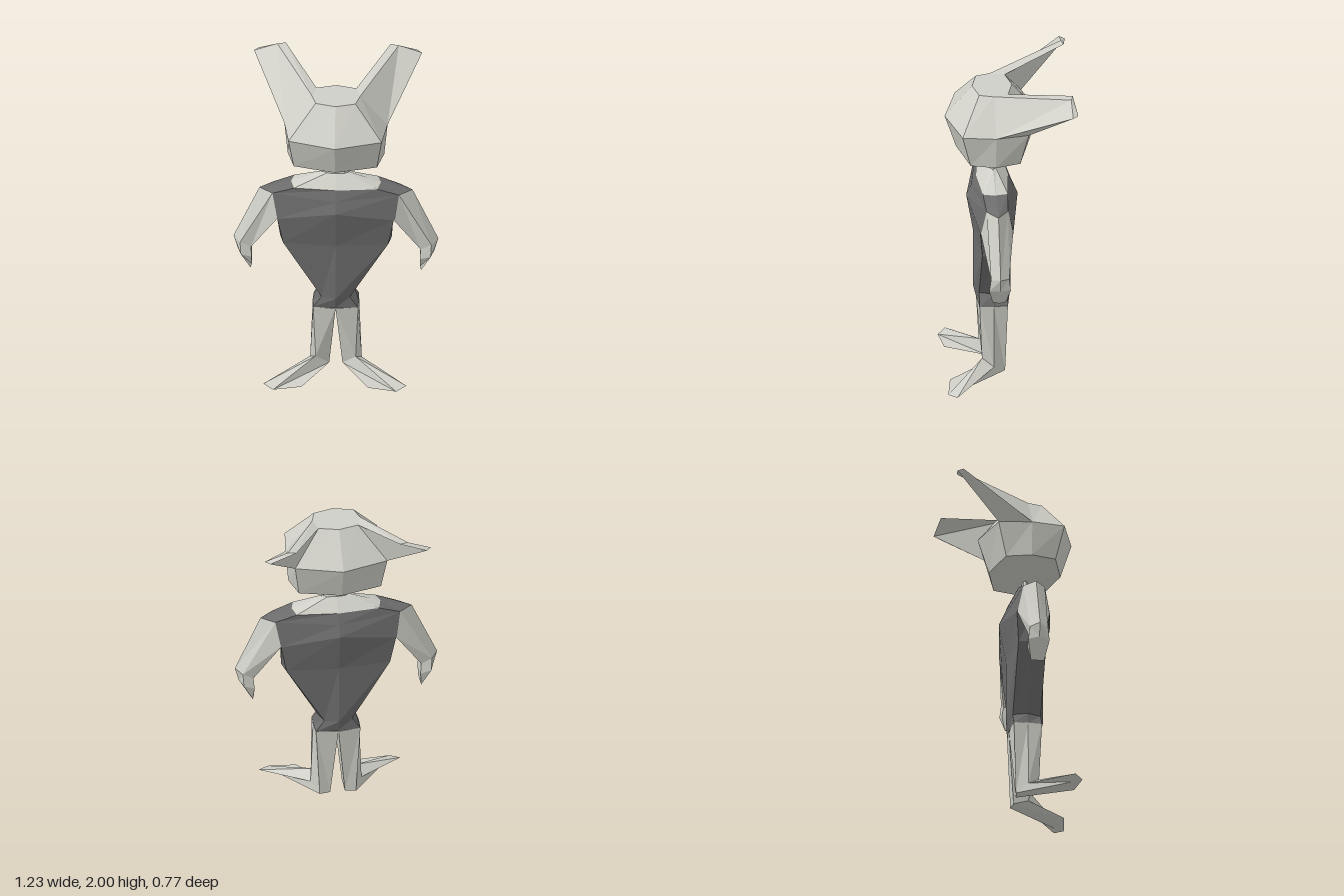
import * as THREE from 'three';

const ZC = 0.09; // body's front/back symmetry plane

// Closed faceted solid through rings of equal point count, always wound outward
function loft(name, rings, material) {
  const tris = [];
  const n = rings[0].length;
  for (let r = 0; r + 1 < rings.length; r++) {
    for (let i = 0; i < n; i++) {
      const j = (i + 1) % n;
      const a = rings[r][i], b = rings[r][j], c = rings[r + 1][j], d = rings[r + 1][i];
      tris.push([a, b, c], [a, c, d]);
    }
  }
  const last = rings[rings.length - 1];
  for (let i = 1; i + 1 < n; i++) {
    tris.push([rings[0][0], rings[0][i + 1], rings[0][i]]);
    tris.push([last[0], last[i], last[i + 1]]);
  }
  let volume = 0;
  for (const [a, b, c] of tris) {
    volume += a[0] * (b[1] * c[2] - b[2] * c[1])
      + a[1] * (b[2] * c[0] - b[0] * c[2])
      + a[2] * (b[0] * c[1] - b[1] * c[0]);
  }
  const points = tris.flatMap(([a, b, c]) => (volume > 0 ? [a, b, c] : [a, c, b]).flat());
  const geometry = new THREE.BufferGeometry();
  geometry.setAttribute('position', new THREE.Float32BufferAttribute(points, 3));
  geometry.computeVertexNormals();
  const mesh = new THREE.Mesh(geometry, material);
  mesh.name = name;
  return mesh;
}

// Eight-point ring from front [y, depth], corner [x, y, depth] and side [x, y]
function ring8([fy, fd], [cx, cy, cd], [sx, sy]) {
  return [
    [0, fy, ZC + fd], [cx, cy, ZC + cd], [sx, sy, ZC], [cx, cy, ZC - cd],
    [0, fy, ZC - fd], [-cx, cy, ZC - cd], [-sx, sy, ZC], [-cx, cy, ZC + cd],
  ];
}
const level = (y, fd, cx, cd, sx) => ring8([y, fd], [cx, y, cd], [sx, y]);

// Five-point arm ring: outer ridge, front/back edges and inner edges
function armRing([ox, oy], [fx, fy, fd], [ix, iy, id]) {
  return [[ox, oy, ZC], [fx, fy, ZC + fd], [ix, iy, ZC + id], [ix, iy, ZC - id], [fx, fy, ZC - fd]];
}

export function createModel() {
  const model = new THREE.Group();
  model.name = 'figure';
  const skin = new THREE.MeshStandardMaterial({ color: 0xcfcfc8 });
  skin.name = 'pale grey';
  const cloth = new THREE.MeshStandardMaterial({ color: 0x6c6c6c });
  cloth.name = 'dark grey';

  // Head, wide at the cheeks
  model.add(loft('head', [
    level(1.45, 0.015, 0.03, 0.01, 0.04),
    level(1.51, 0.217, 0.25, 0.15, 0.29),
    level(1.72, 0.285, 0.28, 0.2, 0.31),
    level(1.92, 0.12, 0.12, 0.087, 0.145),
  ], skin));

  // Neck spreading into the bare collar
  const collar = ring8([1.305, 0.097], [0.25, 1.305, 0.075], [0.27, 1.31]);
  model.add(loft('neck', [
    collar,
    level(1.38, 0.025, 0.055, 0.018, 0.08),
    level(1.455, 0.015, 0.03, 0.01, 0.04),
  ], skin));

  // Suit from hips to shoulders
  model.add(loft('suit', [
    level(0.465, 0.095, 0.135, 0.085, 0.14),
    level(0.54, 0.113, 0.085, 0.085, 0.115),
    level(0.92, 0.113, 0.315, 0.085, 0.335),
    ring8([1.17, 0.155], [0.35, 1.1, 0.1], [0.34, 1.1]),
    ring8([1.24, 0.125], [0.38, 1.26, 0.065], [0.46, 1.26]),
    collar,
  ], cloth));

  // Limbs and ears, mirrored across x
  const ankle = [
    [0.12, 0.105, 0.16], [0.155, 0.06, 0.09], [0.11, 0.01, 0.02],
    [0.045, 0.01, 0.03], [0.04, 0.035, 0.12],
  ];
  const parts = {
    Ear: [
      [[0.145, 1.92, 0.09], [0.12, 1.92, 0.003], [0.28, 1.72, -0.11], [0.31, 1.72, 0.09]],
      [[0.365, 2, -0.357], [0.315, 2, -0.37], [0.475, 1.95, -0.39], [0.505, 1.95, -0.357]],
    ],
    Arm: [
      armRing([0.46, 1.26], [0.38, 1.26, 0.065], [0.35, 1.1, 0.098]),
      armRing([0.615, 0.915], [0.575, 0.9, 0.055], [0.51, 0.865, 0.05]),
      armRing([0.592, 0.83], [0.57, 0.82, 0.065], [0.505, 0.8, 0.06]),
      armRing([0.52, 0.705], [0.512, 0.71, 0.04], [0.505, 0.735, 0.035]),
    ],
    Leg: [
      [[0.135, 0.467, 0.175], [0.14, 0.467, 0.09], [0.135, 0.467, 0.005],
        [0, 0.46, -0.005], [0, 0.46, 0.185]],
      ankle,
    ],
    Foot: [
      ankle,
      [[0.37, 0.004, 0.385], [0.43, 0.014, 0.335], [0.34, 0, 0.33],
        [0.27, 0, 0.34], [0.2, 0.012, 0.36]],
    ],
  };
  for (const [side, s] of [['left', 1], ['right', -1]]) {
    for (const [part, rings] of Object.entries(parts)) {
      const mirrored = rings.map((ring) => ring.map(([x, y, z]) => [s * x, y, z]));
      model.add(loft(side + part, mirrored, skin));
    }
  }
  return model;
}
